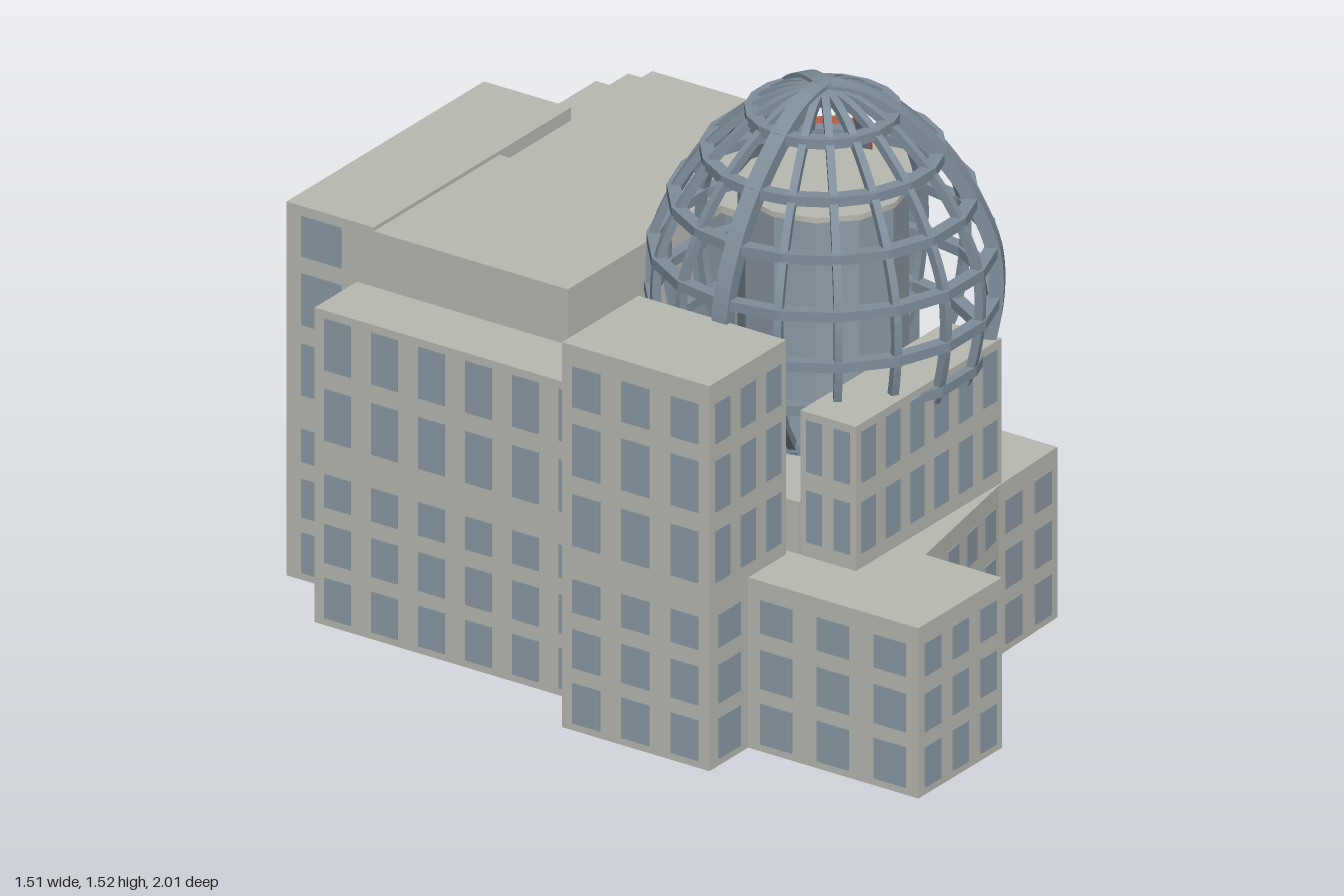
import * as THREE from 'three';

const mat = (name, color, side = THREE.FrontSide) => {
  const m = new THREE.MeshStandardMaterial({ color, side });
  m.name = name;
  return m;
};

export function createModel() {
  const stone = mat('pale stone', 0xb9bab1, THREE.DoubleSide);
  const glass = mat('blue grey glass', 0x8d9aa5);
  const steel = mat('steel frame', 0x7f8e9b);
  const rust = mat('rust red', 0xb45f47);
  steel.flatShading = glass.flatShading = rust.flatShading = true;

  const model = new THREE.Group();
  model.name = 'domedBuilding';

  const add = (name, geometry, material, parent = model) => {
    const mesh = new THREE.Mesh(geometry, material);
    mesh.name = name;
    parent.add(mesh);
    return mesh;
  };
  const block = (name, x0, x1, y0, y1, z0, z1, material = stone) => {
    const m = add(name, new THREE.BoxGeometry(x1 - x0, y1 - y0, z1 - z0), material);
    m.position.set((x0 + x1) / 2, (y0 + y1) / 2, (z0 + z1) / 2);
    return m;
  };

  // Facade from a to b (outside on the right-hand side), with a window grid
  const baseRows = [[0.02, 0.13], [0.17, 0.275], [0.32, 0.41]];
  const upperRows = [[0.5, 0.64], [0.69, 0.83], [0.875, 0.985]];
  const facade = (name, [ax, az], [bx, bz], cols, rows, wall) => {
    const length = Math.hypot(bx - ax, bz - az);
    const side = new THREE.Group();
    side.name = name;
    side.position.set((ax + bx) / 2, 0, (az + bz) / 2);
    side.rotation.y = Math.atan2(az - bz, bx - ax);
    model.add(side);
    if (wall) {
      add('wall', new THREE.PlaneGeometry(length, wall), stone, side).position.y = wall / 2;
    }
    const pitch = length / cols;
    for (let i = 0; i < cols; i++) {
      for (const [y0, y1] of rows) {
        const w = add('window', new THREE.BoxGeometry(pitch * 0.56, y1 - y0, 0.005), glass, side);
        w.position.set((i + 0.5) * pitch - length / 2, (y0 + y1) / 2, 0.001);
      }
    }
  };

  // Ground storeys: stepped outline, open below; third value = window columns to next corner
  const baseTop = 0.46;
  const outline = [
    [-0.59, 0.998, 3], [-0.235, 0.998, 2], [-0.235, 0.77, 4], [0.19, 0.69, 2],
    [0.455, 0.68, 3], [0.455, 0.29, 2], [0.66, 0.29, 1], [0.66, 0.12, 0],
    [0.72, 0.12, 6], [0.72, -0.78, 0], [0.63, -0.78, 0], [0.63, -0.82, 2],
    [0.41, -0.82, 1], [0.41, -1, 7], [-0.43, -1, 1], [-0.43, -0.79, 1],
    [-0.61, -0.79, 6], [-0.61, 0.05, 1], [-0.755, 0.05, 3], [-0.755, 0.49, 1],
    [-0.59, 0.49, 3],
  ];
  outline.forEach((p, i) => {
    facade('baseFacade', p, outline[(i + 1) % outline.length], p[2], baseRows, baseTop);
  });
  const roofShape = new THREE.Shape(outline.map(([x, z]) => new THREE.Vector2(x, -z)));
  const roof = add('baseRoof', new THREE.ShapeGeometry(roofShape), stone);
  roof.rotation.x = -Math.PI / 2;
  roof.position.y = baseTop;

  // Upper blocks
  block('backBlock', -0.43, 0.41, baseTop, 1.01, -1, -0.74);
  block('middleBlock', -0.43, 0.105, baseTop, 1.0, -0.74, -0.16);
  block('rightWing', -0.61, -0.43, baseTop, 0.85, -0.79, 0.05);
  block('rightTower', -0.755, -0.43, baseTop, 1.04, 0.05, 0.49);
  block('frontBlock', -0.41, 0.21, baseTop, 0.85, 0.52, 0.685);
  block('domePlinth', -0.41, 0.41, baseTop, 0.6, -0.16, 0.515);

  facade('backWindows', [0.41, -1], [-0.43, -1], 7, upperRows);
  facade('backSideWindows', [-0.43, -1], [-0.43, -0.79], 1, upperRows);
  const two = upperRows.slice(0, 2);
  facade('wingWindows', [-0.61, -0.79], [-0.61, 0.05], 6, two);
  facade('wingBackWindows', [-0.43, -0.79], [-0.61, -0.79], 1, two);
  facade('towerFrontWindows', [-0.755, 0.49], [-0.43, 0.49], 3, upperRows);
  facade('towerSideWindows', [-0.755, 0.05], [-0.755, 0.49], 3, upperRows);
  facade('frontBlockWindows', [-0.41, 0.685], [0.21, 0.685], 6, two);
  facade('frontBlockSideWindows', [0.21, 0.685], [0.21, 0.52], 2, two);
  facade('frontBlockSideWindows', [-0.41, 0.52], [-0.41, 0.685], 2, two);

  // Glazed hall with overhanging roof slab
  block('glassHallFront', 0.24, 0.71, baseTop, 0.955, -0.16, 0.09, glass);
  block('glassHallBack', 0.105, 0.71, baseTop, 0.955, -0.73, -0.16, glass);
  block('hallRoofFront', 0.22, 0.755, 0.955, 0.975, -0.16, 0.12);
  block('hallRoofBack', 0.105, 0.755, 0.955, 0.975, -0.74, -0.16);
  block('hallRoofRear', 0.41, 0.63, 0.955, 0.975, -0.82, -0.74);
  block('hallRoofRearStep', 0.63, 0.71, 0.955, 0.975, -0.78, -0.74);

  // Roof tank with pegs around the rim
  const tank = new THREE.Group();
  tank.name = 'roofTank';
  tank.position.set(0.493, 0, -0.025);
  model.add(tank);
  add('tankBody', new THREE.CylinderGeometry(0.105, 0.105, 0.127, 14), rust, tank).position.y = 1.038;
  for (let i = 0; i < 8; i++) {
    const a = (i + 0.5) * Math.PI / 4;
    const peg = add('tankPeg', new THREE.CylinderGeometry(0.008, 0.008, 0.06, 6), steel, tank);
    peg.position.set(Math.cos(a) * 0.096, 1.105, Math.sin(a) * 0.096);
  }

  // Dome: egg-shaped cage of ribs and rings
  const dome = new THREE.Group();
  dome.name = 'dome';
  dome.position.z = 0.3;
  model.add(dome);
  const curve = new THREE.SplineCurve([
    [0.27, 0.645], [0.36, 0.74], [0.4, 0.82], [0.425, 0.95], [0.42, 1.085], [0.37, 1.215],
    [0.29, 1.335], [0.18, 1.44], [0.09, 1.49], [0, 1.505],
  ].map(([r, y]) => new THREE.Vector2(r, y)));
  const profile = curve.getPoints(36);

  const ribGeometry = (width, inner, outer, minY) => {
    const pts = profile.filter((p) => p.y >= minY);
    const shift = (p, d) => {
      const n = new THREE.Vector2(p.x, p.y - 0.97).normalize();
      return new THREE.Vector2(Math.max(0, p.x + n.x * d), p.y + n.y * d);
    };
    const shape = new THREE.Shape([
      ...pts.map((p) => shift(p, outer)),
      ...pts.map((p) => shift(p, -inner)).reverse(),
    ]);
    const g = new THREE.ExtrudeGeometry(shape, { depth: width, bevelEnabled: false });
    return g.translate(0, 0, -width / 2);
  };
  const thinRib = ribGeometry(0.02, 0.014, 0.008, 0.64);
  const thickRib = ribGeometry(0.045, 0.018, 0.018, 0.81);
  const ribs = 18;
  for (let i = 0; i < ribs; i++) {
    const main = i % 6 === 3;
    const rib = add(main ? 'mainRib' : 'rib', main ? thickRib : thinRib, steel, dome);
    rib.rotation.y = i * Math.PI * 2 / ribs;
  }

  const rings = [[0.285, 0.665], [0.4, 0.82], [0.425, 0.95], [0.42, 1.085],
    [0.37, 1.215], [0.29, 1.335], [0.18, 1.44]];
  for (const [r, y] of rings) {
    const section = [[-0.02, -0.013], [0.014, -0.013], [0.014, 0.013], [-0.02, 0.013], [-0.02, -0.013]]
      .map(([dr, dy]) => new THREE.Vector2(r + dr, y + dy));
    add('ring', new THREE.LatheGeometry(section, ribs, Math.PI / 2), steel, dome);
  }

  // Glazed drum inside the dome
  add('innerDrum', new THREE.CylinderGeometry(0.21, 0.21, 0.64, 12), glass, dome).position.y = 0.92;
  add('drumRoof', new THREE.CylinderGeometry(0.215, 0.215, 0.015, 12), stone, dome).position.y = 1.245;

  return model;
}
